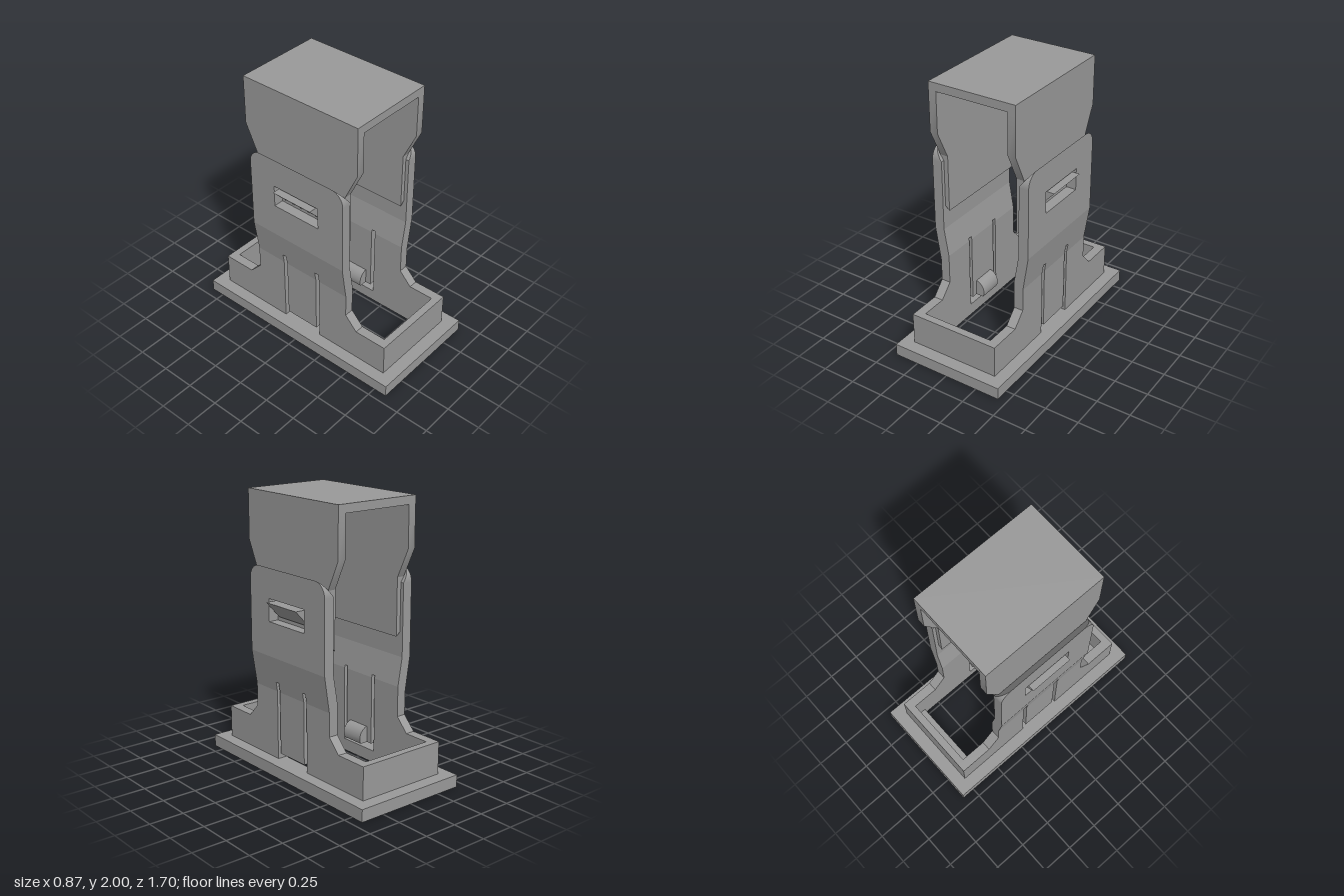
import * as THREE from 'three';
import { toCreasedNormals } from 'three/addons/utils/BufferGeometryUtils.js';

const grey = new THREE.MeshStandardMaterial({ color: 0x999999 });
grey.name = 'grey plastic';

const shapeOf = (pts) => new THREE.Shape(pts.map(([a, b]) => new THREE.Vector2(a, b)));
const rect = (a0, b0, a1, b1) => shapeOf([[a0, b0], [a1, b0], [a1, b1], [a0, b1]]);

function add(parent, name, geometry) {
  const mesh = new THREE.Mesh(geometry, grey);
  mesh.name = name;
  parent.add(mesh);
  return mesh;
}

function box(parent, name, w, h, d, x, y, z) {
  add(parent, name, new THREE.BoxGeometry(w, h, d)).position.set(x, y, z);
}

// x of a bent face at height y, from [y, x] points
function lookup(table, y) {
  for (let i = 1; i < table.length; i++) {
    const [y0, x0] = table[i - 1], [y1, x1] = table[i];
    if (y <= y1 + 1e-6) return x0 + (x1 - x0) * Math.max(0, (y - y0) / (y1 - y0));
  }
  return table[table.length - 1][1];
}

// flat outline in (z, y) given thickness between two bent faces
function panel(parent, name, shape, inner, outer) {
  const g = new THREE.ExtrudeGeometry(shape, { depth: 1, bevelEnabled: false, curveSegments: 8 });
  const p = g.attributes.position;
  for (let i = 0; i < p.count; i++) {
    const z = -p.getX(i), y = p.getY(i), t = p.getZ(i);
    p.setXYZ(i, THREE.MathUtils.lerp(lookup(inner, y), lookup(outer, y), t), y, z);
  }
  add(parent, name, toCreasedNormals(g, 0.5));
}

// profile in (x, y) extruded along z, centred
function ridge(parent, name, pts, width) {
  const g = new THREE.ExtrudeGeometry(shapeOf(pts), { depth: width, bevelEnabled: false });
  g.translate(0, 0, -width / 2);
  add(parent, name, toCreasedNormals(g, 0.6));
}

const WALL_IN = [[0, 0.275], [0.65, 0.275], [0.86, 0.31], [1.39, 0.31], [1.49, 0.385]];
const WALL_OUT = [[0, 0.345], [0.6, 0.345], [0.86, 0.385], [1.49, 0.385]];
const CAP_IN = [[1, 0.275], [2, 0.275]];
const CAP_OUT = [[1.01, 0.275], [1.04, 0.308], [1.39, 0.308], [1.43, 0.335], [2, 0.335]];

function buildSide() {
  const side = new THREE.Group();
  side.name = 'side';

  // legs either side of the tongue, with feet running into the collar
  for (const s of [1, -1]) {
    const leg = [[0.165, 0.09], [0.755, 0.09], [0.755, 0.33], [0.505, 0.33], [0.41, 0.43], [0.41, 0.6], [0.165, 0.6]];
    panel(side, 'leg', shapeOf(leg.map(([z, y]) => [z * s, y])), WALL_IN, WALL_OUT);
    for (const [y0, y1] of [[0.6, 0.65], [0.65, 0.67]]) {
      panel(side, 'legBend', rect(0.165 * s, y0, 0.41 * s, y1), WALL_IN, WALL_OUT);
    }
  }

  // spring tongue and its inner hook
  for (const [y0, y1] of [[0.14, 0.6], [0.6, 0.65], [0.65, 0.67]]) {
    panel(side, 'tongue', rect(-0.135, y0, 0.135, y1), WALL_IN, WALL_OUT);
  }
  ridge(side, 'tongueHook', [[0.28, 0.14], [0.28, 0.26], [0.26, 0.26], [0.235, 0.245],
    [0.215, 0.22], [0.207, 0.19], [0.207, 0.16], [0.215, 0.14]], 0.18);

  // upper wall with window and rounded, bevelled top
  panel(side, 'wallBend', rect(-0.41, 0.67, 0.41, 0.86), WALL_IN, WALL_OUT);
  const wall = rect(-0.41, 0.86, 0.41, 1.39);
  wall.holes.push(rect(-0.195, 1.11, 0.195, 1.275));
  panel(side, 'wall', wall, WALL_IN, WALL_OUT);
  const tip = new THREE.Shape();
  tip.moveTo(-0.41, 1.39);
  tip.lineTo(0.41, 1.39);
  tip.absarc(0.31, 1.39, 0.1, 0, Math.PI / 2);
  tip.absarc(-0.31, 1.39, 0.1, Math.PI / 2, Math.PI);
  panel(side, 'wallTip', tip, WALL_IN, WALL_OUT);

  // cap side and skirt, slid inside the wall
  panel(side, 'capSide', shapeOf([[-0.385, 1.43], [0.385, 1.43], [0.485, 1.64], [0.485, 1.94],
    [-0.485, 1.94], [-0.485, 1.64]]), CAP_IN, CAP_OUT);
  for (const [y0, y1] of [[1.39, 1.43], [1.04, 1.39], [1.01, 1.04]]) {
    panel(side, 'capSkirt', rect(-0.385, y0, 0.385, y1), CAP_IN, CAP_OUT);
  }
  ridge(side, 'catch', [[0.3, 1.14], [0.32, 1.14], [0.43, 1.26], [0.3, 1.26]], 0.33);
  return side;
}

export function createModel() {
  const model = new THREE.Group();
  model.name = 'clipHousing';

  // base flange with its opening
  const outline = rect(-0.435, -0.85, 0.435, 0.85);
  outline.holes.push(rect(-0.275, -0.63, 0.275, 0.63));
  const flange = new THREE.ExtrudeGeometry(outline, { depth: 0.09, bevelEnabled: false });
  flange.rotateX(-Math.PI / 2);
  add(model, 'flange', flange);

  // collar ends
  for (const s of [1, -1]) box(model, 'collarEnd', 0.55, 0.24, 0.055, 0, 0.21, 0.7275 * s);

  // mirrored sides
  const left = buildSide(), right = buildSide();
  left.name = 'leftSide';
  right.name = 'rightSide';
  right.rotation.y = Math.PI;
  model.add(left, right);

  box(model, 'capRoof', 0.67, 0.06, 0.97, 0, 1.97, 0);
  return model;
}
